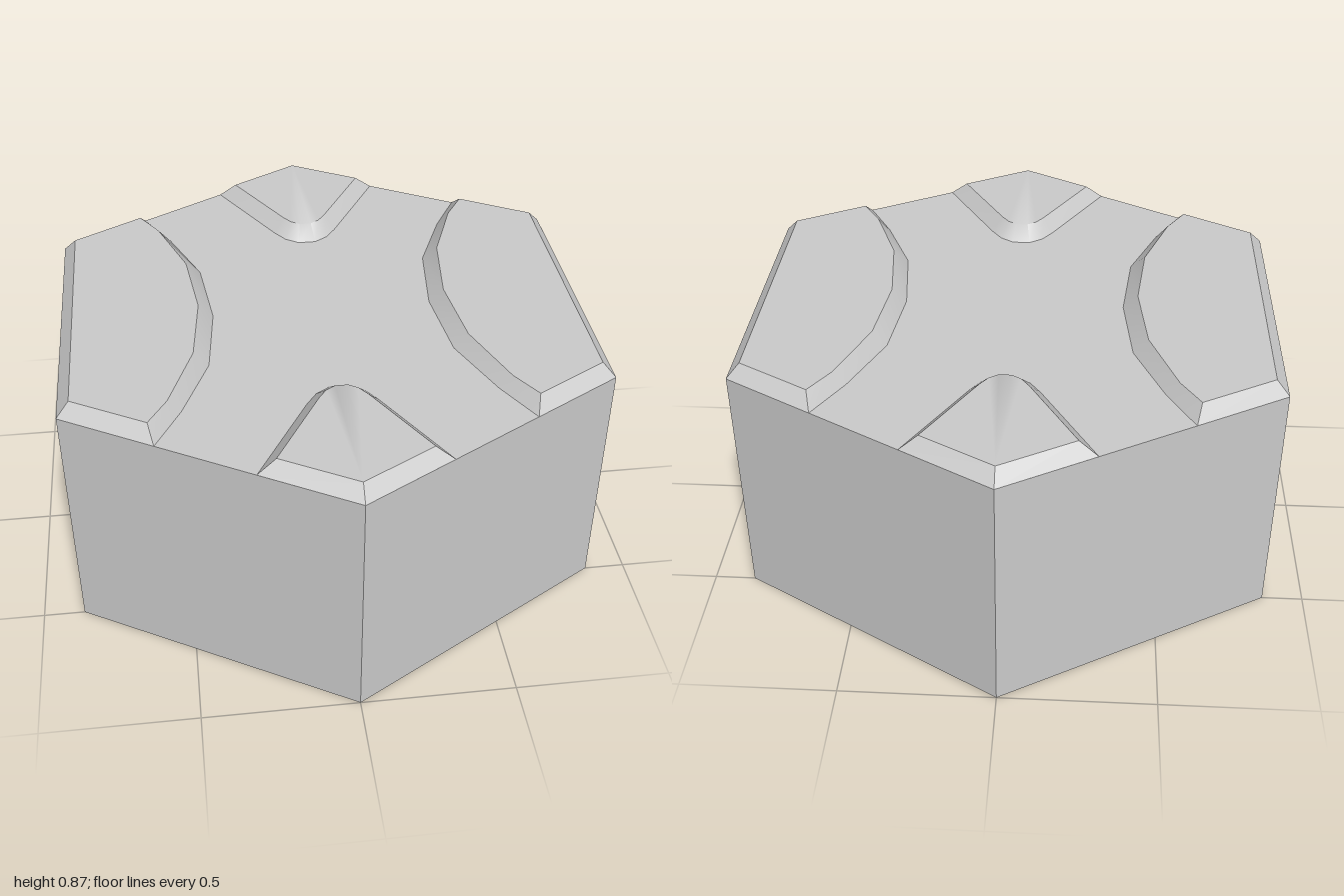
import * as THREE from 'three';
import { toCreasedNormals } from 'three/addons/utils/BufferGeometryUtils.js';

const FLOOR = 0.825, TOP = 0.87;

// Raised plateau: bevelled sides between two convex outlines of [x, z], plus a flat top
function plateau(low, high) {
  const pos = [], n = low.length;
  const add = (p, y) => pos.push(p[0], y, p[1]);
  for (let i = 0; i < n; i++) {
    const j = (i + 1) % n;
    add(low[i], FLOOR); add(low[j], FLOOR); add(high[j], TOP);
    add(low[i], FLOOR); add(high[j], TOP); add(high[i], TOP);
    if (i > 0 && i < n - 1) { add(high[0], TOP); add(high[i], TOP); add(high[j], TOP); }
  }
  const g = new THREE.BufferGeometry();
  g.setAttribute('position', new THREE.Float32BufferAttribute(pos, 3));
  return toCreasedNormals(g, 0.7);
}

// Bank outline: half profile at z <= 0 from the outer corner to the middle, mirrored in z
function bankOutline(half) {
  const back = half.slice(0, -1).reverse().map(([x, z]) => [x, -z]);
  return [...half, ...back];
}

// Corner outline: right half from the tip to the nose, mirrored in x
function cornerOutline(half) {
  const left = half.slice(1).reverse().map(([x, z]) => [-x, z]);
  return [...half, ...left];
}

export function createModel() {
  const group = new THREE.Group();
  const material = new THREE.MeshStandardMaterial({ color: 0xcccccc });
  const flat = new THREE.MeshStandardMaterial({ color: 0xcccccc, flatShading: true });

  // Hexagonal block whose top is the channel floor
  const base = new THREE.Mesh(new THREE.CylinderGeometry(1, 1, FLOOR, 6), flat);
  base.position.y = FLOOR / 2;
  base.name = 'hexBase';
  group.add(base);

  // Curved banks along both sides
  const bank = plateau(
    bankOutline([[0.866, -0.5], [0.577, -0.667], [0.49, -0.51], [0.394, -0.28], [0.365, 0]]),
    bankOutline([[0.825, -0.476], [0.592, -0.61], [0.53, -0.51], [0.441, -0.27], [0.412, 0]])
  );

  // Wedges with rounded noses in the front and back corners
  const wedge = plateau(
    cornerOutline([[0, 1], [0.289, 0.833], [0.11, 0.52], [0.075, 0.47], [0.03, 0.44]]),
    cornerOutline([[0, 0.952], [0.23, 0.82], [0.075, 0.55], [0.05, 0.515], [0.02, 0.495]])
  );

  for (const [name, geometry, turn] of [
    ['leftBank', bank, 0], ['rightBank', bank, Math.PI],
    ['frontWedge', wedge, 0], ['backWedge', wedge, Math.PI],
  ]) {
    const mesh = new THREE.Mesh(geometry, material);
    mesh.rotation.y = turn;
    mesh.name = name;
    group.add(mesh);
  }
  return group;
}
